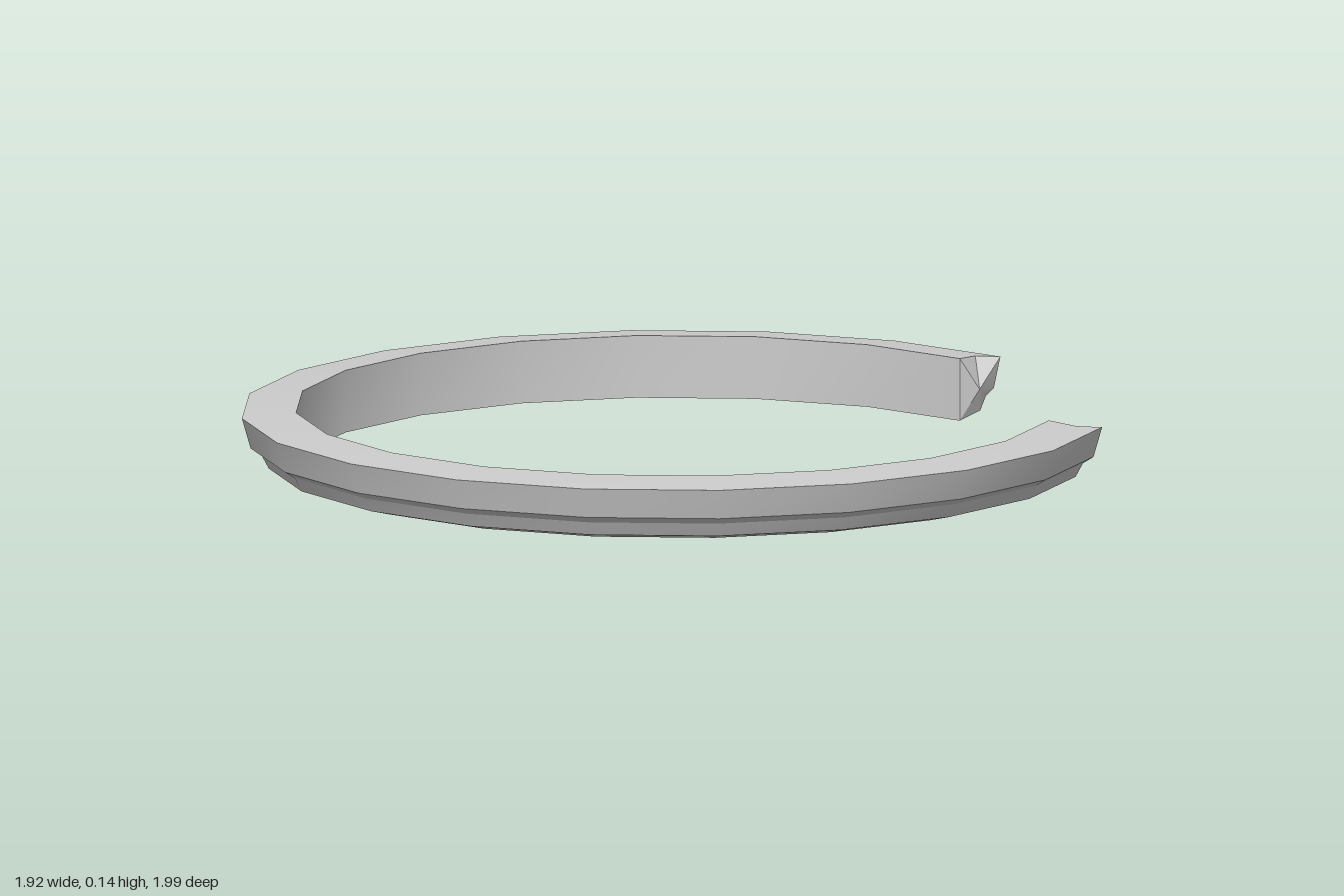
import * as THREE from 'three';
import { toCreasedNormals } from 'three/addons/utils/BufferGeometryUtils.js';

const SEGMENTS = 17;                        // of a 20-sided circle, leaving a gap
const STEP = Math.PI / 10;
const START = THREE.MathUtils.degToRad(31.5);
const CENTRE_X = 0.035;

// Moulding cross-section as [radius, height], counterclockwise from the inner foot
const PROFILE = [
  [0.875, 0], [0.938, 0.016], [0.955, 0.048], [0.98, 0.064],
  [1.0, 0.134], [0.945, 0.139], [0.875, 0.145],
];
const NOTCH = 5;                            // top point pulled back at the broken ends

// Point at an angle around the ring, shifted along the tangent
function ringPoint([r, y], angle, shift = 0) {
  const c = Math.cos(angle), s = Math.sin(angle);
  return [CENTRE_X + r * c - shift * s, y, r * s + shift * c];
}

function sweepGeometry() {
  const positions = [], index = [], n = PROFILE.length;
  for (let i = 0; i <= SEGMENTS; i++) {
    const outward = i === 0 ? -1 : i === SEGMENTS ? 1 : 0;
    PROFILE.forEach((p, j) => {
      positions.push(...ringPoint(p, START + i * STEP, j === NOTCH ? -0.025 * outward : 0));
    });
  }
  for (let i = 0; i < SEGMENTS; i++) {
    for (let j = 0; j < n; j++) {
      const a = i * n + j, b = i * n + (j + 1) % n;
      index.push(a, b, a + n, b, b + n, a + n);
    }
  }
  return finish(positions, index);
}

// Jagged broken end: a fan from a tip that juts into the gap
function endGeometry(ring, outward) {
  const angle = START + ring * STEP, n = PROFILE.length, index = [];
  const positions = PROFILE.flatMap((p, j) => ringPoint(p, angle, j === NOTCH ? -0.025 * outward : 0));
  positions.push(...ringPoint([0.92, 0.07], angle, 0.018 * outward));
  for (let j = 0; j < n; j++) {
    const k = (j + 1) % n;
    index.push(n, ...(outward > 0 ? [j, k] : [k, j]));
  }
  return finish(positions, index);
}

function finish(positions, index) {
  const geometry = new THREE.BufferGeometry();
  geometry.setAttribute('position', new THREE.Float32BufferAttribute(positions, 3));
  geometry.setIndex(index);
  return toCreasedNormals(geometry, THREE.MathUtils.degToRad(28));
}

export function createModel() {
  const group = new THREE.Group();
  group.name = 'brokenRing';
  const material = new THREE.MeshStandardMaterial({ color: 0xcccccc });
  const add = (name, geometry) => {
    const mesh = new THREE.Mesh(geometry, material);
    mesh.name = name;
    group.add(mesh);
  };
  add('ringMoulding', sweepGeometry());
  add('frontBrokenEnd', endGeometry(0, -1));
  add('backBrokenEnd', endGeometry(SEGMENTS, 1));
  return group;
}
